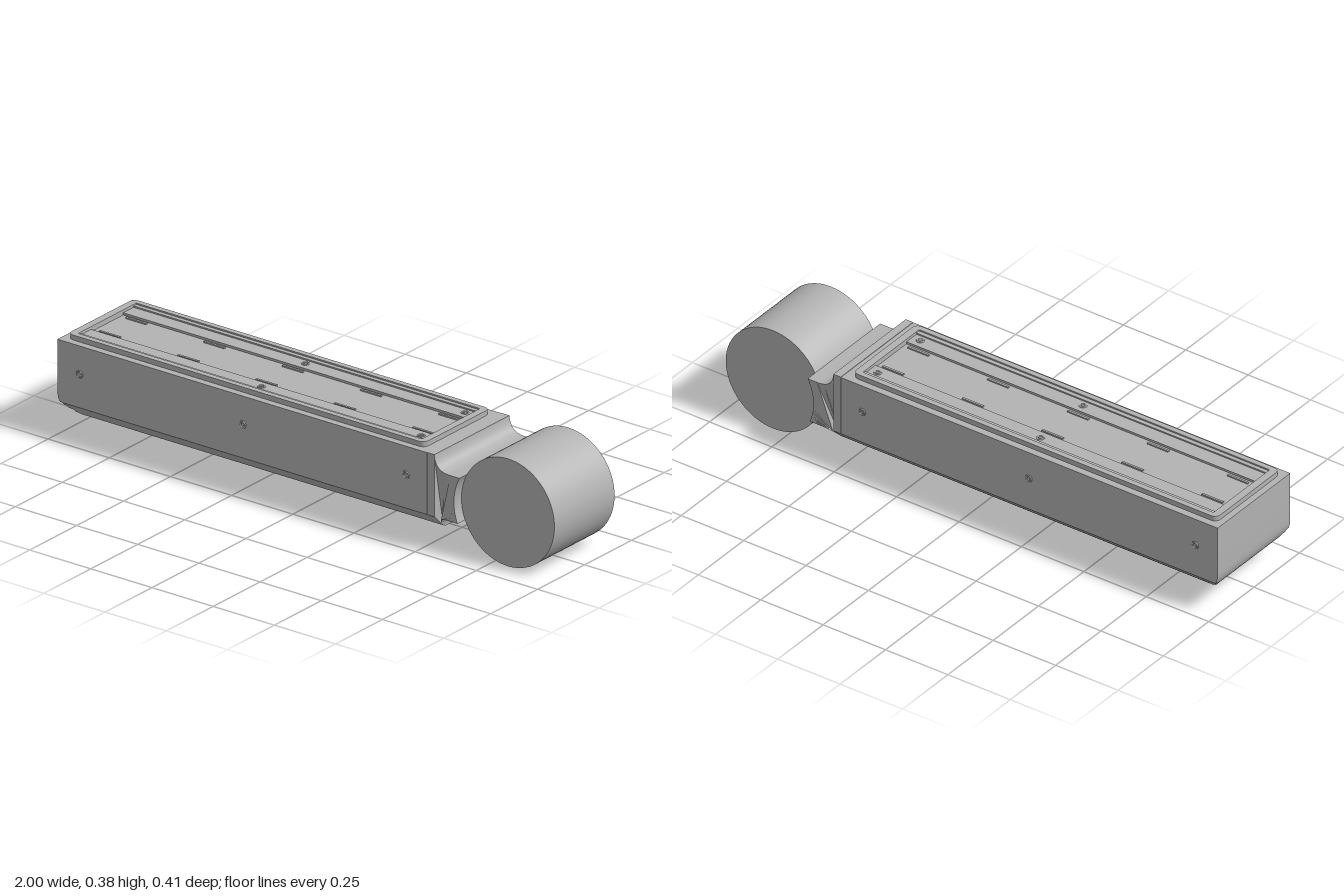
import * as THREE from 'three';
import { toCreasedNormals } from 'three/addons/utils/BufferGeometryUtils.js';

export function createModel() {
  const group = new THREE.Group();
  const grey = new THREE.MeshStandardMaterial({ color: 0xb3b3b3 });

  const add = (name, geo, x = 0, y = 0, z = 0) => {
    const mesh = new THREE.Mesh(geo, grey);
    mesh.name = name;
    mesh.position.set(x, y, z);
    group.add(mesh);
    return mesh;
  };
  const box = (name, x0, x1, y0, y1, z0, z1) =>
    add(name, new THREE.BoxGeometry(x1 - x0, y1 - y0, z1 - z0),
      (x0 + x1) / 2, (y0 + y1) / 2, (z0 + z1) / 2);

  // Hull cross-section (z, y) with softened lower corners
  const section = (top) => {
    const half = [[0.2, 0.117], [0.187, 0.104], [0.173, 0.09], [0.16, 0.077], [0.153, 0.071], [0.14, 0.066], [0.125, 0.065]];
    const pts = [[0.2, top], ...half, ...half.map(([z, y]) => [-z, y]).reverse(), [-0.2, top]];
    return new THREE.Shape(pts.map(([z, y]) => new THREE.Vector2(z, y)));
  };

  // Hull: extruded along x, its underside swept up to the outer end
  const STEPS = 13, R = 0.09;
  const hull = new THREE.ExtrudeGeometry(section(0.28), { depth: 1, steps: STEPS, bevelEnabled: false });
  const p = hull.attributes.position;
  for (let i = 0; i < p.count; i++) {
    const s = Math.round(p.getZ(i) * STEPS);
    const a = Math.min(s / (STEPS - 1), 1) * Math.PI / 2;
    p.setZ(i, s === STEPS ? 0.51 : -1 + R * (1 - Math.cos(a)));
    p.setY(i, Math.max(p.getY(i), 0.065 + R * (1 - Math.sin(a))));
  }
  hull.rotateY(Math.PI / 2);
  add('hull', toCreasedNormals(hull, 0.6));

  // End flange
  const flange = new THREE.ExtrudeGeometry(section(0.337), { depth: 0.029, bevelEnabled: false });
  flange.rotateY(Math.PI / 2);
  add('flange', toCreasedNormals(flange, 0.6), 0.511);

  // Cover with raised rim
  box('cover', -1, 0.51, 0.28, 0.336, -0.2, 0.2);
  const roundRect = (Type, x0, x1, w, r) => {
    const s = new Type();
    s.moveTo(x0 + r, -w);
    s.lineTo(x1 - r, -w);
    s.quadraticCurveTo(x1, -w, x1, -w + r);
    s.lineTo(x1, w - r);
    s.quadraticCurveTo(x1, w, x1 - r, w);
    s.lineTo(x0 + r, w);
    s.quadraticCurveTo(x0, w, x0, w - r);
    s.lineTo(x0, -w + r);
    s.quadraticCurveTo(x0, -w, x0 + r, -w);
    return s;
  };
  const rimShape = roundRect(THREE.Shape, -0.977, 0.48, 0.175, 0.025);
  rimShape.holes.push(roundRect(THREE.Path, -0.95, 0.454, 0.155, 0.004));
  const rim = new THREE.ExtrudeGeometry(rimShape, { depth: 0.018, bevelEnabled: false, curveSegments: 6 });
  rim.rotateX(-Math.PI / 2);
  add('rim', toCreasedNormals(rim, 0.5), 0, 0.336);

  // Screw: a ring around a small recessed disc, facing +y
  const screw = (name, x, y, z, tilt = 0) => {
    const g = new THREE.Group();
    g.name = name;
    const ring = new THREE.Mesh(new THREE.TorusGeometry(0.011, 0.003, 6, 20).rotateX(Math.PI / 2), grey);
    const disc = new THREE.Mesh(new THREE.CylinderGeometry(0.006, 0.006, 0.004, 6), grey);
    ring.name = 'screwRing';
    disc.name = 'screwCore';
    g.add(ring, disc);
    g.position.set(x, y, z);
    g.rotation.x = tilt;
    group.add(g);
  };

  for (const s of [1, -1]) {
    const band = (name, x0, x1, y0, y1, z0, z1) =>
      box(name, x0, x1, y0, y1, Math.min(s * z0, s * z1), Math.max(s * z0, s * z1));
    // Side rails and inner ledges framing the central panel
    band('sideRail', -0.95, 0.454, 0.336, 0.344, 0.085, 0.155);
    band('railLip', -0.95, 0.454, 0.344, 0.349, 0.14, 0.155);
    // Thin slot markers along the panel
    for (let i = 0; i < 5; i++) {
      const x = -0.885 + i * 0.32;
      band('slot', x - 0.042, x + 0.042, 0.336, 0.341, 0.066, 0.074);
    }
    for (const x of [-0.23, 0.422]) screw('topScrew', x, 0.344, s * 0.117);
    for (const x of [-0.91, -0.243, 0.424]) screw('sideScrew', x, 0.235, s * 0.2, s * Math.PI / 2);
  }

  // Neck: filleted web, hollowed to cradle the drum
  const neckShape = new THREE.Shape();
  neckShape.moveTo(0.54, 0.07);
  neckShape.bezierCurveTo(0.545, 0.1, 0.565, 0.117, 0.595, 0.117);
  neckShape.lineTo(0.634, 0.117);
  neckShape.absarc(0.81, 0.19, 0.19, Math.PI + 0.394, Math.PI - 0.494, true);
  neckShape.lineTo(0.605, 0.28);
  neckShape.bezierCurveTo(0.565, 0.28, 0.545, 0.295, 0.54, 0.333);
  neckShape.closePath();
  const neck = new THREE.ExtrudeGeometry(neckShape, { depth: 0.4, bevelEnabled: false, curveSegments: 12 });
  neck.translate(0, 0, -0.2);
  const n = neck.attributes.position;
  for (let i = 0; i < n.count; i++) {
    const limit = 0.2 - Math.max(0, 0.117 - n.getY(i));
    n.setZ(i, Math.sign(n.getZ(i)) * limit);
  }
  add('neck', toCreasedNormals(neck, 0.5));

  // Drum at the end
  add('drum', new THREE.CylinderGeometry(0.19, 0.19, 0.32, 64).rotateX(Math.PI / 2), 0.81, 0.19, 0);

  return group;
}
